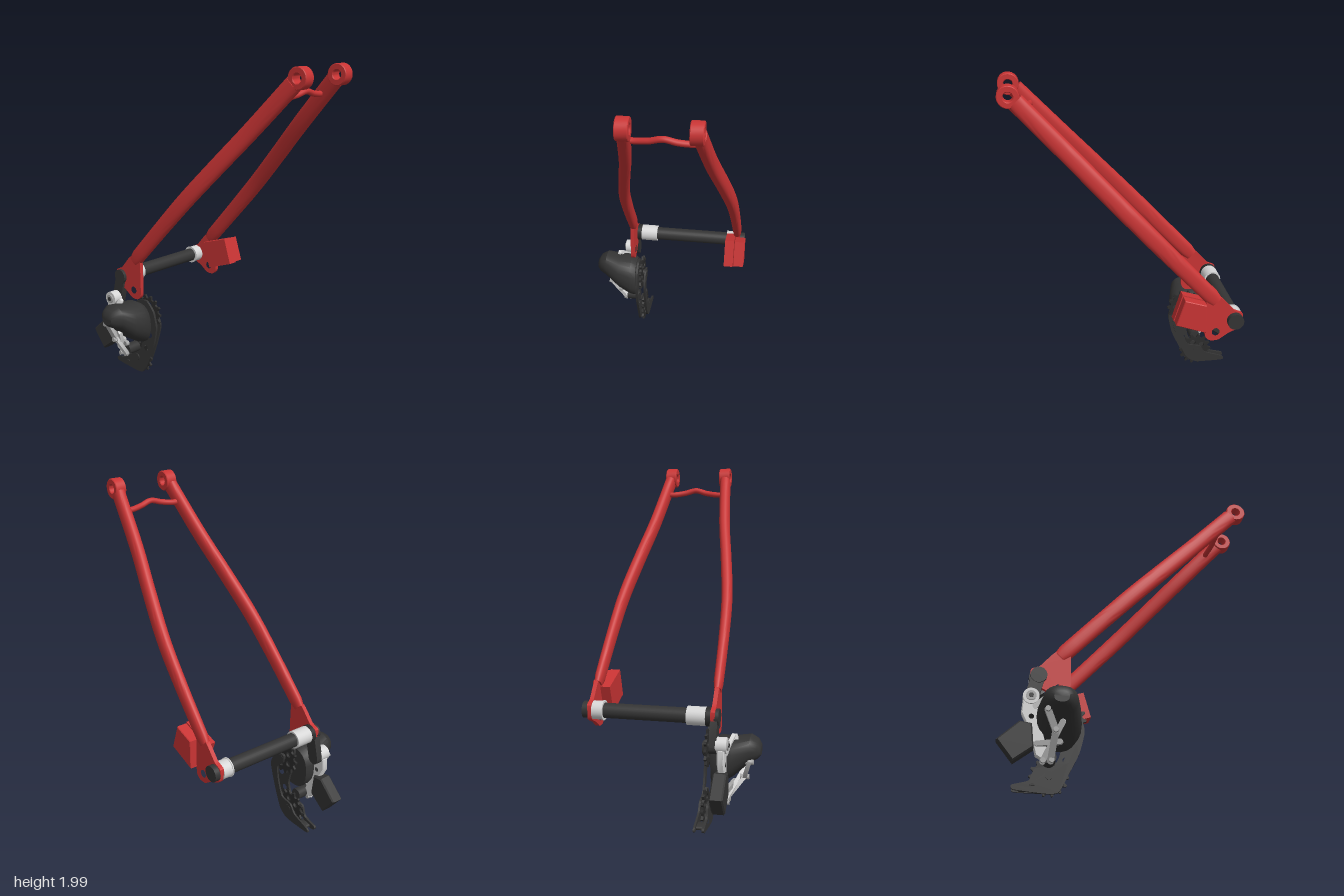
import * as THREE from 'three';
import { toCreasedNormals } from 'three/addons/utils/BufferGeometryUtils.js';

const V = (x, y, z) => new THREE.Vector3(x, y, z);

export function createModel() {
  const root = new THREE.Group();
  const paint = (name, color) => {
    const m = new THREE.MeshStandardMaterial({ color });
    m.name = name;
    return m;
  };
  const red = paint('red paint', 0xc93434);
  const dark = paint('dark plastic', 0x343434);
  const black = paint('black metal', 0x2b2b2b);
  const silver = paint('silver', 0xd6d6d6);
  const grey = paint('grey metal', 0xa6a6a6);

  const add = (name, geometry, material, parent = root) => {
    const mesh = new THREE.Mesh(geometry, material);
    mesh.name = name;
    parent.add(mesh);
    return mesh;
  };
  const group = (name) => {
    const g = new THREE.Group();
    g.name = name;
    root.add(g);
    return g;
  };

  // Closed skin over elliptical sections {c, u, v}, where u x v points along the run
  const loft = (sections, n = 20, power = 1) => {
    const pos = [];
    const idx = [];
    const bend = (t) => Math.sign(t) * Math.abs(t) ** power;
    for (const s of sections) {
      for (let j = 0; j < n; j++) {
        const a = (j / n) * Math.PI * 2;
        const p = s.c.clone().addScaledVector(s.u, bend(Math.cos(a))).addScaledVector(s.v, bend(Math.sin(a)));
        pos.push(p.x, p.y, p.z);
      }
    }
    const last = sections.length - 1;
    pos.push(...sections[0].c.toArray(), ...sections[last].c.toArray());
    const c0 = n * (last + 1);
    for (let j = 0; j < n; j++) {
      const k = (j + 1) % n;
      for (let i = 0; i < last; i++) {
        const a = i * n + j, b = i * n + k;
        idx.push(a, b, b + n, a, b + n, a + n);
      }
      idx.push(c0, k, j, c0 + 1, last * n + j, last * n + k);
    }
    const g = new THREE.BufferGeometry();
    g.setAttribute('position', new THREE.Float32BufferAttribute(pos, 3));
    g.setIndex(idx);
    return toCreasedNormals(g, 0.6);
  };

  // Flat plate in the x-y plane between two depths; holes are [x, y, radius]
  const plate = (pts, z0, z1, holes = [], bevel = 0) => {
    const shape = new THREE.Shape(pts.map((p) => new THREE.Vector2(p[0], p[1])));
    for (const [x, y, r] of holes) shape.holes.push(new THREE.Path().absarc(x, y, r, 0, Math.PI * 2, true));
    const g = new THREE.ExtrudeGeometry(shape, {
      depth: z1 - z0 - 2 * bevel, bevelEnabled: bevel > 0, bevelSize: bevel, bevelOffset: -bevel,
      bevelThickness: bevel, bevelSegments: 1, curveSegments: 12,
    });
    return toCreasedNormals(g.translate(0, 0, z0 + bevel), 0.6);
  };
  const circle = (x, y, r, n = 28) => Array.from({ length: n }, (_, i) => {
    const a = (i / n) * Math.PI * 2;
    return [x + r * Math.cos(a), y + r * Math.sin(a)];
  });
  const smooth = (pts, n = 50, tension = 0.3) => new THREE.CatmullRomCurve3(
    pts.map((p) => V(p[0], p[1], 0)), true, 'catmullrom', tension).getPoints(n).slice(0, -1).map((p) => [p.x, p.y]);
  const disc = (name, x, y, z0, z1, r, mat, parent) => {
    const m = add(name, new THREE.CylinderGeometry(r, r, z1 - z0, 28).rotateX(Math.PI / 2), mat, parent);
    m.position.set(x, y, (z0 + z1) / 2);
    return m;
  };
  // Straight link with rounded ends lying between two points
  const link = (name, a, b, w, t, mat, parent) => {
    const len = a.distanceTo(b), r = w / 2;
    const shape = new THREE.Shape().absarc(len, 0, r, -Math.PI / 2, Math.PI / 2);
    shape.absarc(0, 0, r, Math.PI / 2, Math.PI * 1.5);
    const g = new THREE.ExtrudeGeometry(shape, { depth: t, bevelEnabled: false, curveSegments: 8 });
    const m = add(name, toCreasedNormals(g.translate(0, 0, -t / 2), 0.6), mat, parent);
    const x = b.clone().sub(a).normalize();
    const y = V(0, 0, 1).cross(x).normalize();
    m.quaternion.setFromRotationMatrix(new THREE.Matrix4().makeBasis(x, y, x.clone().cross(y)));
    m.position.copy(a);
    return m;
  };

  // Seat stays, pivot eyes and dropouts, mirrored about the wheel plane
  const MID = -0.1;
  const across = V(-0.728, 0.685, 0);
  const bowCurve = new THREE.SplineCurve([[-0.425, 0.343], [-0.2, 0.333], [0, 0.315], [0.2, 0.273], [0.4, 0.225], [0.645, 0.184]]
    .map((p) => new THREE.Vector2(...p)));
  for (const side of [1, -1]) {
    const g = group(side > 0 ? 'leftStay' : 'rightStay');
    const sections = [];
    for (let i = 0; i <= 24; i++) {
      const p = bowCurve.getPoint(i / 24);
      const t = i / 24;
      const end = i === 0 ? 0.8 : 1;
      sections.push({
        c: V(p.x, 0.775 + (p.x + 0.425) * 1.063, MID + side * p.y),
        u: across.clone().multiplyScalar(end * (0.046 + 0.004 * Math.min(1, t * 3))),
        v: V(0, 0, end * (0.025 + 0.008 * Math.min(1, t * 2))),
      });
    }
    add('stayTube', loft(sections, 24, 0.8), red, g);
    const ez = MID + side * 0.178;
    add('pivotEye', plate(circle(0.68, 1.94, 0.06), ez - 0.034, ez + 0.034, [[0.68, 1.94, 0.026]], 0.004), red, g);
    const dz = MID + side * 0.345;
    add('dropout', plate(smooth([[-0.58, 0.69], [-0.53, 0.715], [-0.45, 0.8], [-0.37, 0.8], [-0.362, 0.72], [-0.362, 0.57],
      [-0.39, 0.535], [-0.44, 0.535], [-0.5, 0.575], [-0.57, 0.61]]), dz - 0.012, dz + 0.012, [[-0.425, 0.587, 0.023]]), red, g);
  }

  // Bridge between the stays
  add('stayBridge', new THREE.TubeGeometry(new THREE.CatmullRomCurve3([
    V(0.565, 1.83, 0.085), V(0.567, 1.83, 0.04), V(0.58, 1.84, -0.03), V(0.588, 1.857, MID),
    V(0.58, 1.84, -0.17), V(0.567, 1.83, -0.24), V(0.565, 1.83, -0.285)]), 40, 0.017, 12), red);

  // Brake mount block
  const brake = group('brakeMount');
  add('mountBlock', plate([[-0.365, 0.597], [-0.182, 0.66], [-0.232, 0.82], [-0.425, 0.76]], -0.432, -0.375), red, brake);
  add('mountCover', plate([[-0.362, 0.603], [-0.186, 0.663], [-0.235, 0.814], [-0.36, 0.775]], -0.498, -0.432, [], 0.004), red, brake);

  // Axle
  const axle = group('axle');
  for (const [name, z0, z1, r, mat] of [
    ['axleTube', -0.39, 0.12, 0.042, dark], ['leftCollar', 0.1, 0.205, 0.052, silver],
    ['rightCollar', -0.432, -0.375, 0.052, silver], ['collarLip', -0.376, -0.369, 0.056, silver],
    ['leftSpacer', 0.205, 0.233, 0.053, black], ['leftEndCap', 0.25, 0.276, 0.045, dark],
    ['rightEndCap', -0.488, -0.455, 0.047, dark]]) disc(name, -0.535, 0.655, z0, z1, r, mat, axle);

  // Derailleur hanger, knuckle and housing
  const mech = group('derailleur');
  link('hangerLink', V(-0.54, 0.64, 0.25), V(-0.575, 0.5, 0.25), 0.075, 0.04, dark, mech);
  disc('upperKnuckle', -0.572, 0.512, 0.265, 0.325, 0.044, silver, mech);
  disc('knuckleBolt', -0.572, 0.512, 0.325, 0.332, 0.027, grey, mech);
  disc('knuckleSocket', -0.572, 0.512, 0.332, 0.336, 0.013, dark, mech);
  const ring = (z, y, rx, ry) => ({ c: V(-0.42, y, z), u: V(rx, 0, 0), v: V(0, ry, 0) });
  add('housing', loft([ring(0.225, 0.37, 0.11, 0.13), ring(0.26, 0.385, 0.125, 0.135), ring(0.34, 0.41, 0.115, 0.11),
    ring(0.43, 0.46, 0.09, 0.075), ring(0.47, 0.46, 0.065, 0.055), ring(0.488, 0.455, 0.04, 0.03)], 22, 0.85), dark, mech);
  add('batteryPack', plate([[-0.74, 0.265], [-0.65, 0.152], [-0.545, 0.23], [-0.56, 0.36], [-0.625, 0.37]],
    0.255, 0.33, [], 0.008), dark, mech);

  // Silver arm, brace and parallelogram links
  add('mainArm', plate([[-0.615, 0.49], [-0.54, 0.52], [-0.53, 0.42], [-0.475, 0.22], [-0.49, 0.165], [-0.535, 0.19],
    [-0.575, 0.33], [-0.62, 0.42]], 0.275, 0.315, [[-0.565, 0.4, 0.02]], 0.006), silver, mech);
  const links = [
    ['upperBrace', [-0.545, 0.46, 0.31], [-0.455, 0.53, 0.34], 0.03],
    ['middleBrace', [-0.45, 0.53, 0.35], [-0.485, 0.40, 0.4], 0.026],
    ['outerLink', [-0.485, 0.4, 0.43], [-0.44, 0.3, 0.40], 0.035],
    ['outerLinkLower', [-0.44, 0.3, 0.4], [-0.455, 0.17, 0.305], 0.035],
    ['innerLink', [-0.405, 0.35, 0.4], [-0.495, 0.165, 0.3], 0.03],
    ['crossLink', [-0.53, 0.25, 0.32], [-0.41, 0.26, 0.34], 0.028]];
  links.forEach(([name, a, b, w], i) => link(name, V(...a), V(...b), w, 0.022, i % 3 === 2 ? grey : silver, mech));
  for (const [x, y, z] of [[-0.485, 0.4, 0.43], [-0.44, 0.3, 0.4], [-0.495, 0.165, 0.3], [-0.45, 0.17, 0.3]])
    disc('linkPin', x, y, z - 0.025, z + 0.025, 0.014, grey, mech);
  disc('lowerKnuckle', -0.46, 0.19, 0.215, 0.3, 0.035, dark, mech);

  // Pulley cage and toothed pulleys
  const cage = group('pulleyCage');
  const gear = (x, y, r, teeth) => {
    const pts = [];
    for (let i = 0; i < teeth; i++) {
      for (const [f, k] of [[-0.32, 0.82], [-0.1, 1], [0.1, 1], [0.32, 0.82]]) {
        const a = ((i + f) / teeth) * Math.PI * 2;
        pts.push([x + k * r * Math.cos(a), y + k * r * Math.sin(a)]);
      }
    }
    const holes = Array.from({ length: 5 }, (_, i) => [x + r * 0.5 * Math.cos(i * 1.2566), y + r * 0.5 * Math.sin(i * 1.2566), r * 0.17]);
    return plate(pts, 0.176, 0.19, holes);
  };
  const upper = [-0.375, 0.435], lower = [-0.455, 0.115];
  for (const [name, [x, y], r] of [['upperPulley', upper, 0.112], ['lowerPulley', lower, 0.106]]) {
    add(name, gear(x, y, r, 14), black, cage);
    disc(name + 'Axle', x, y, 0.15, 0.222, 0.022, dark, cage);
  }
  add('outerCagePlate', plate(smooth([[-0.44, 0.5], [-0.36, 0.52], [-0.3, 0.46], [-0.275, 0.36], [-0.3, 0.24], [-0.355, 0.12],
    [-0.4, 0.03], [-0.46, 0.018], [-0.635, 0.035], [-0.645, 0.06], [-0.56, 0.085], [-0.53, 0.15], [-0.43, 0.17],
    [-0.4, 0.25], [-0.43, 0.38]], 80), 0.202, 0.216, [[-0.335, 0.3, 0.022], [-0.37, 0.2, 0.018], [-0.54, 0.06, 0.012]]), dark, cage);
  add('innerCagePlate', plate(smooth([[-0.4, 0.46], [-0.34, 0.46], [-0.29, 0.36], [-0.33, 0.22], [-0.39, 0.08],
    [-0.46, 0.035], [-0.635, 0.035], [-0.635, 0.06], [-0.52, 0.1], [-0.48, 0.15], [-0.4, 0.17], [-0.36, 0.27],
    [-0.35, 0.36], [-0.4, 0.41]], 80), 0.152, 0.163), dark, cage);
  link('cageSpacer', V(-0.6, 0.045, 0.182), V(-0.55, 0.05, 0.182), 0.02, 0.05, dark, cage);
  return root;
}
